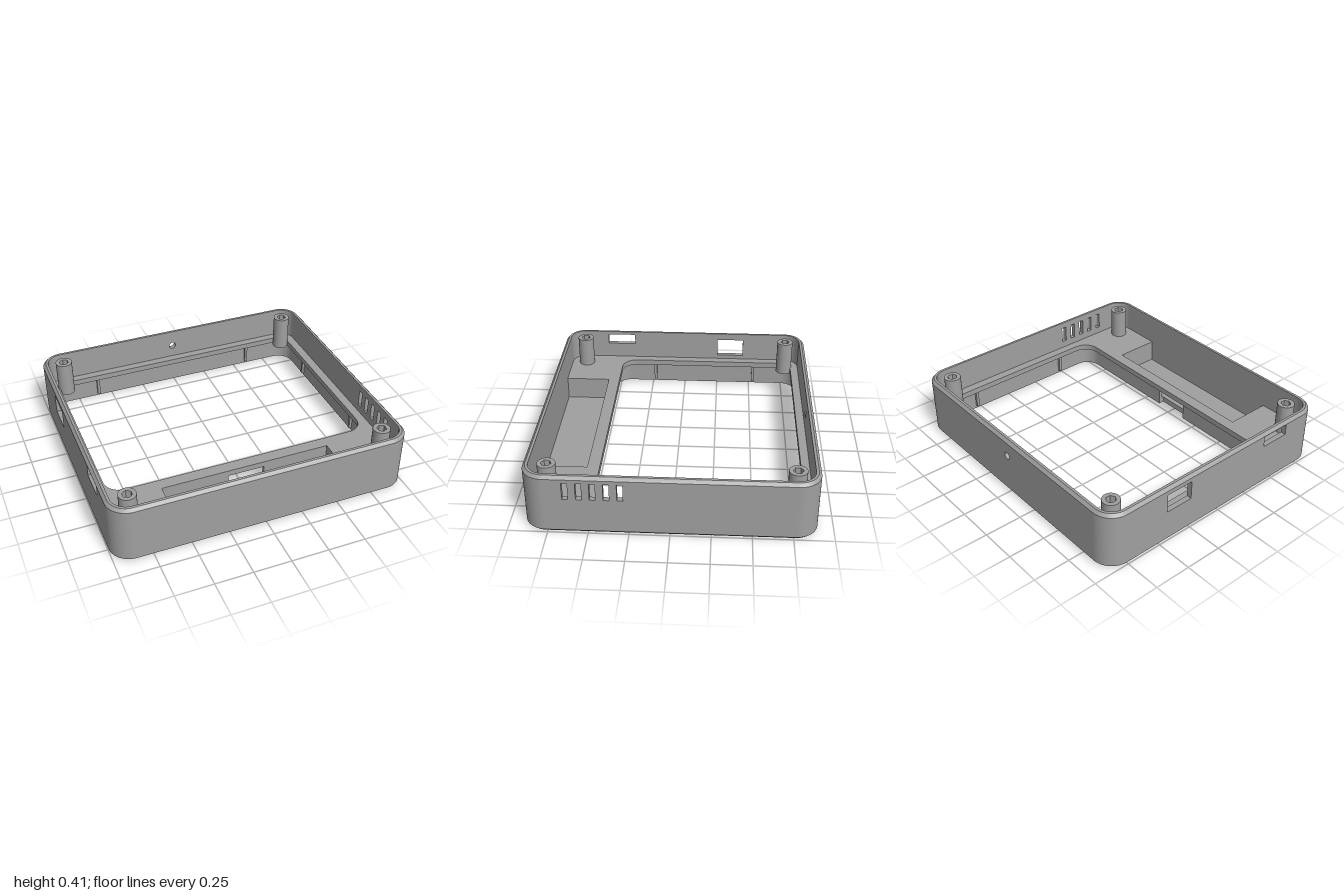
import * as THREE from 'three';
import { toCreasedNormals } from 'three/addons/utils/BufferGeometryUtils.js';

const W = 1, D = 0.9, R = 0.14, T = 0.035; // half width, half depth, corner radius, wall
const LOW = 0.02, HIGH = 0.39, TOP = 0.41;

// Outline with rounded right-angle corners, from [x, z, radius] entries
function outline(corners, segs = 12) {
  const pts = [];
  corners.forEach(([x, z, r], i) => {
    const p = new THREE.Vector2(x, z);
    if (!r) return pts.push(p);
    const n = corners.length;
    const dir = ([a, b]) => new THREE.Vector2(a, b).sub(p).normalize();
    const back = dir(corners[(i + n - 1) % n]), fwd = dir(corners[(i + 1) % n]);
    const c = p.clone().addScaledVector(back, r).addScaledVector(fwd, r);
    for (let k = 0; k <= segs; k++) {
      const a = (k / segs) * Math.PI / 2;
      pts.push(c.clone().addScaledVector(fwd, -r * Math.cos(a)).addScaledVector(back, -r * Math.sin(a)));
    }
  });
  return pts;
}

const rect = (x0, x1, z0, z1, r = 0) =>
  outline([[x1, z0, r], [x1, z1, r], [x0, z1, r], [x0, z0, r]]);
const caseOutline = (inset) => rect(-W + inset, W - inset, -D + inset, D - inset, R - inset);

function withHoles(points, holes = []) {
  const s = new THREE.Shape(points);
  s.holes = holes.map((h) => new THREE.Path(h));
  return s;
}

const extrude = (shape, depth) =>
  new THREE.ExtrudeGeometry(shape, { depth, bevelEnabled: false, curveSegments: 24 });

// Horizontal plate between two heights; shape coordinates are (x, z)
const plate = (shape, y0, y1) =>
  toCreasedNormals(extrude(shape, y1 - y0).rotateX(Math.PI / 2).translate(0, y1, 0), 0.5);

// Band round the case through [inset, y] steps
function band(profile) {
  const loops = profile.map(([inset, y]) => caseOutline(inset).map((p) => [p.x, y, p.y]));
  const pos = [];
  for (let j = 0; j < loops.length - 1; j++) {
    const n = loops[j].length;
    for (let i = 0; i < n; i++) {
      const k = (i + 1) % n;
      const a = loops[j][i], b = loops[j + 1][i], c = loops[j][k], d = loops[j + 1][k];
      pos.push(...a, ...b, ...c, ...c, ...b, ...d);
    }
  }
  const g = new THREE.BufferGeometry();
  g.setAttribute('position', new THREE.Float32BufferAttribute(pos, 3));
  g.computeVertexNormals();
  return toCreasedNormals(g, 0.5);
}

export function createModel() {
  const group = new THREE.Group();
  const grey = new THREE.MeshStandardMaterial({ color: 0xa0a0a0 });
  grey.name = 'grey plastic';
  const add = (name, geometry) => {
    const m = new THREE.Mesh(geometry, grey);
    m.name = name;
    group.add(m);
    return m;
  };

  // Chamfered rim and base edge
  add('rim', band([[0, HIGH], [0.018, TOP], [T, TOP], [T, HIGH]]));
  add('baseEdge', band([[0.02, 0], [0, LOW]]));

  // Rounded wall corners
  for (let k = 0; k < 4; k++) {
    const a = k * Math.PI / 2;
    const cx = (W - R) * (k === 0 || k === 3 ? 1 : -1), cz = (D - R) * (k < 2 ? 1 : -1);
    const s = new THREE.Shape();
    s.absarc(cx, cz, R, a, a + Math.PI / 2, false);
    s.absarc(cx, cz, R - T, a + Math.PI / 2, a, true);
    add('wallCorner', plate(s, LOW, HIGH));
  }

  // Straight walls with their openings
  const wall = (half, holes) => extrude(withHoles(rect(-half, half, LOW, HIGH), holes), T);
  add('frontWall', wall(W - R, []).translate(0, 0, D - T));
  const pinHole = new THREE.Path().absarc(0, 0.29, 0.025, 0, Math.PI * 2).getPoints(16);
  pinHole.pop();
  add('backWall', wall(W - R, [pinHole]).translate(0, 0, -D));

  const vents = [];
  for (let i = 0; i < 5; i++) {
    const z = 0.2975 + i * 0.0825;
    vents.push(rect(-z - 0.018, -z + 0.018, 0.25, 0.365));
  }
  add('ventWall', wall(D - R, vents).rotateY(Math.PI / 2).translate(W - T, 0, 0));
  const ports = [rect(0.25, 0.445, 0.23, 0.36), rect(-0.595, -0.39, 0.31, 0.386)];
  add('portWall', wall(D - R, ports).rotateY(Math.PI / 2).translate(-W, 0, 0));

  // Floor: ledge round the window, recess below it, pocket at the front
  const P = 0.58, pz0 = 0.555, pz1 = D - T;
  const rx = 0.955, rz0 = -0.855, rz1 = 0.53, rr = 0.11, n = 0.125;
  const body = caseOutline(0.02);
  const windowHole = rect(-0.905, 0.905, -0.81, 0.475, 0.11);
  const recessWith = (notch) => outline([
    [rx, rz0, rr], [rx, rz1, rr], [n, rz1, 0], ...notch, [-n, rz1, 0], [-rx, rz1, rr], [-rx, rz0, rr],
  ]);
  add('ledge', plate(withHoles(body, [windowHole, rect(-P, P, pz0, pz1)]), 0.16, 0.2));
  const recessAndPocket = recessWith([
    [n, pz0, 0], [P, pz0, 0], [P, pz1, 0], [-P, pz1, 0], [-P, pz0, 0], [-n, pz0, 0],
  ]);
  add('lowerBody', plate(withHoles(body, [recessAndPocket]), 0.04, 0.16));
  const recessAndSlot = recessWith([[n, 0.57, 0], [-n, 0.57, 0]]);
  add('bottomPlate', plate(withHoles(body, [recessAndSlot]), 0, 0.04));

  // Small ribs on the recess walls
  const rib = (x, z, w, d) => add('rib', new THREE.BoxGeometry(w, 0.14, d).translate(x, 0.09, z));
  for (const s of [-1, 1]) {
    rib(s * 0.6, rz0 + 0.008, 0.02, 0.02);
    for (const z of [-0.53, 0.23]) rib(s * (rx - 0.008), z, 0.02, 0.02);
  }

  // Screw posts with blind hexagonal sockets
  const hex = Array.from({ length: 6 }, (_, i) => {
    const a = (i + 0.5) * Math.PI / 3;
    return new THREE.Vector2(0.033 * Math.cos(a), 0.033 * Math.sin(a));
  });
  for (const x of [-0.855, 0.855]) {
    for (const z of [-0.76, 0.755]) {
      const ring = new THREE.Shape().absarc(0, 0, 0.057, 0, Math.PI * 2);
      ring.holes.push(new THREE.Path(hex));
      add('screwPost', plate(ring, 0.28, TOP)).position.set(x, 0, z);
      const foot = new THREE.CylinderGeometry(0.057, 0.057, 0.115, 48).translate(0, 0.2225, 0);
      add('screwPostFoot', foot).position.set(x, 0, z);
    }
  }
  return group;
}
